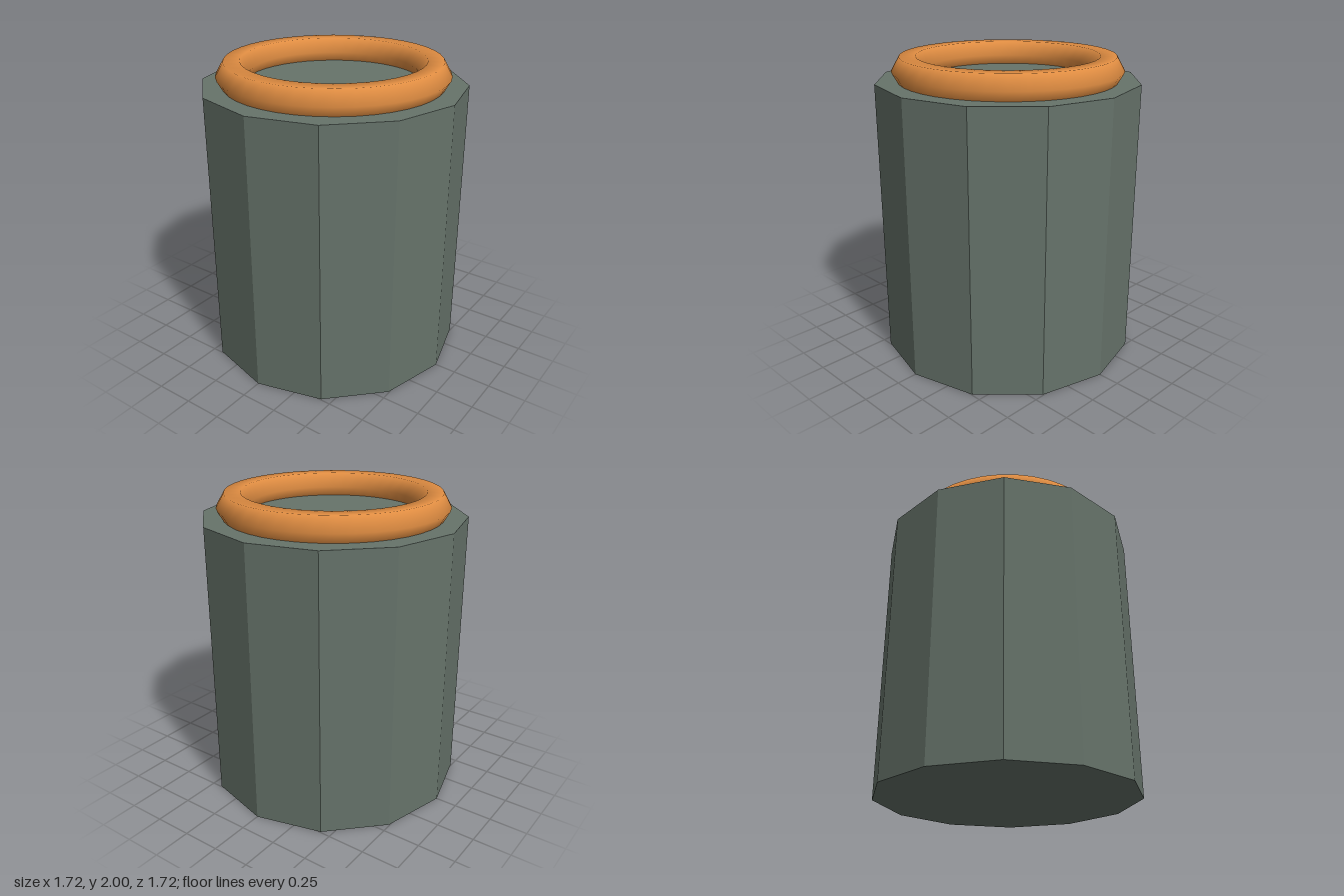
import * as THREE from 'three';

export function createModel() {
  const group = new THREE.Group();
  const greyGreen = new THREE.MeshStandardMaterial({ color: 0x66736a });
  greyGreen.name = 'grey green';
  greyGreen.flatShading = true;
  const orange = new THREE.MeshStandardMaterial({ color: 0xe08d42 });
  orange.name = 'orange';

  // Twelve-sided body standing on the ground
  const bodyHeight = 1.845;
  const body = new THREE.Mesh(new THREE.CylinderGeometry(0.86, 0.86, bodyHeight, 12), greyGreen);
  body.name = 'body';
  body.position.y = bodyHeight / 2;
  group.add(body);

  // Smooth ring with a six-sided section, sunk slightly into the top
  const ring = new THREE.Mesh(new THREE.TorusGeometry(0.645, 0.105, 6, 40), orange);
  ring.name = 'topRing';
  ring.rotation.x = Math.PI / 2;
  ring.position.y = 1.909;
  group.add(ring);

  return group;
}
